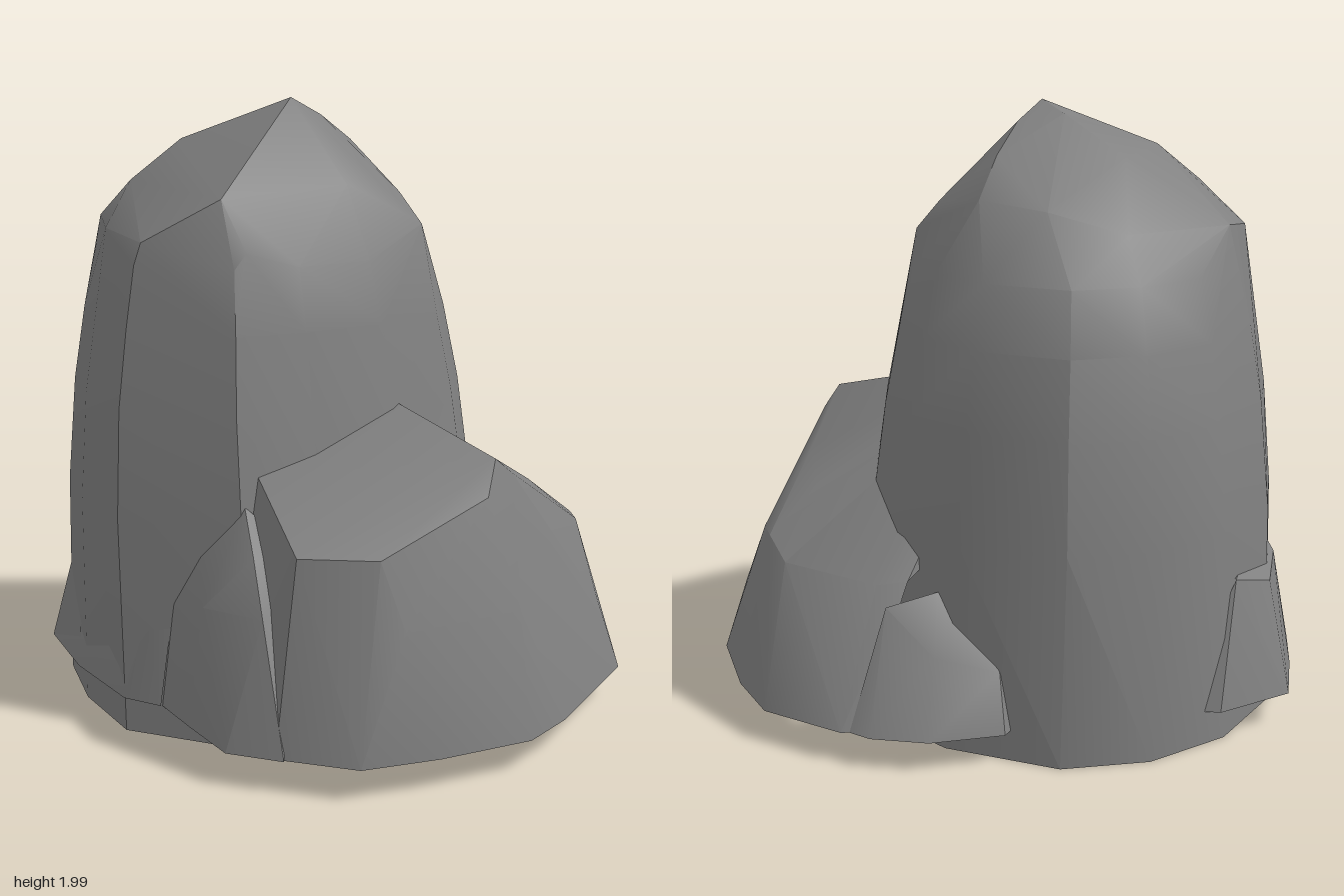
import * as THREE from 'three';
import { ConvexGeometry } from 'three/addons/geometries/ConvexGeometry.js';
import { toCreasedNormals } from 'three/addons/utils/BufferGeometryUtils.js';

const material = new THREE.MeshStandardMaterial({ color: 0x808080, side: THREE.DoubleSide });

// True for points buried deep inside the tall rock
const buried = (p) => ((p.x + 0.22) / 0.5) ** 2 + ((p.z - 0.17) / 0.54) ** 2 < 1;

// A faceted shell around the points, open underneath and where it joins the tall rock
function rock(name, points, joined = true) {
  const corners = points.map((p) => new THREE.Vector3(...p));
  const floor = Math.min(...corners.map((p) => p.y)) + 0.001;
  const pos = new ConvexGeometry(corners).getAttribute('position');
  const kept = [];
  for (let i = 0; i < pos.count; i += 3) {
    const tri = [0, 1, 2].map((k) => new THREE.Vector3().fromBufferAttribute(pos, i + k));
    if (tri.every((p) => p.y < floor)) continue;
    if (joined && (tri.every(buried) || tri.some((p) => p.y < floor && buried(p)))) continue;
    tri.forEach((p) => kept.push(p.x, p.y, p.z));
  }
  const geometry = new THREE.BufferGeometry();
  geometry.setAttribute('position', new THREE.Float32BufferAttribute(kept, 3));
  const mesh = new THREE.Mesh(toCreasedNormals(geometry, 0.56), material);
  mesh.name = name;
  return mesh;
}

// Puts a flat list of [x, z] pairs at one height
const ring = (y, outline) => outline.map(([x, z]) => [x, y, z]);

function tallRock() {
  const outline = [
    [0.46, 0.05], [0.43, 0.38], [0.35, 0.64], [-0.05, 0.87], [-0.38, 0.82], [-0.67, 0.71], [-0.84, 0.46],
    [-0.9, 0.13], [-0.83, -0.17], [-0.65, -0.4], [-0.28, -0.53], [0.02, -0.51], [0.24, -0.42], [0.4, -0.26],
  ];
  // Height, then the x and z limits the outline is fitted to
  const levels = [
    [0.01, -0.9, 0.46, -0.53, 0.87],
    [0.7, -0.87, 0.38, -0.49, 0.86],
    [1.05, -0.83, 0.33, -0.455, 0.835],
    [1.3, -0.78, 0.295, -0.4, 0.8],
    [1.5, -0.72, 0.255, -0.34, 0.765],
  ];
  const points = levels.flatMap(([y, x0, x1, z0, z1]) => ring(y, outline.map(([x, z]) => [
    THREE.MathUtils.mapLinear(x, -0.9, 0.46, x0, x1),
    THREE.MathUtils.mapLinear(z, -0.53, 0.87, z0, z1),
  ])));
  // Chiselled crown
  points.push(
    [-0.05, 2, 0.2], [-0.17, 1.965, 0.17], [-0.4, 1.84, 0.2], [-0.36, 1.86, 0.42], [-0.67, 1.63, 0.4],
    [-0.6, 1.6, 0.59], [-0.42, 1.73, 0.58], [-0.35, 1.59, 0.72], [-0.1, 1.57, 0.745], [0.09, 1.71, 0.57],
    [0.18, 1.55, 0.54], [0.14, 1.73, 0.12], [-0.05, 1.94, 0.08], [-0.1, 1.85, -0.08], [-0.15, 1.73, -0.22],
    [-0.38, 1.71, -0.16], [0.11, 1.69, -0.12], [0.19, 1.59, -0.15], [-0.57, 1.64, 0],
  );
  return rock('tallRock', points, false);
}

export function createModel() {
  const group = new THREE.Group();
  group.name = 'rockCluster';
  group.add(tallRock());

  // Broad rock wrapping the side and back
  group.add(rock('sideRock', [
    ...ring(0.11, [
      [0.1, 0.45], [0.2, 0.72], [0.63, 0.77], [0.85, 0.62], [0.93, 0.38], [0.99, 0.07], [0.93, -0.13],
      [0.7, -0.6], [0.42, -0.78], [0.2, -0.87], [-0.1, -0.82], [-0.14, -0.78], [-0.15, -0.2],
    ]),
    [0.91, 0.5, 0.05], [0.86, 0.5, 0.46], [0, 1.13, 0.1], [0.73, 0.93, 0], [0.81, 0.84, 0.1], [0.79, 0.71, 0.5],
    [0.62, 0.71, 0.68], [0.27, 0.87, 0.57], [0, 0.88, 0.5], [0.72, 0.87, -0.08], [0.58, 0.79, -0.28],
    [0.4, 0.72, -0.43], [0, 0.8, -0.2], [0.51, 0.59, -0.57], [0.43, 0.59, -0.62], [0.28, 0.55, -0.69],
    [-0.07, 0.54, -0.62], [-0.14, 0.55, -0.55], [0.65, 0.35, -0.54],
  ]));

  group.add(rock('frontRock', [
    ...ring(0.11, [[0.05, 0.8], [0.25, 0.83], [0.5, 0.86], [0.66, 0.76], [0.15, 0.4], [-0.1, 0.45]]),
    [0.09, 0.45, 0.77], [0.14, 0.63, 0.7], [0.27, 0.78, 0.62], [0.4, 0.66, 0.68], [0.53, 0.51, 0.74],
    [0.3, 0.5, 0.8], [0.4, 0.64, 0.5], [0.1, 0.7, 0.55],
  ]));

  group.add(rock('backChip', [
    ...ring(0.11, [
      [-0.5, -0.49], [-0.36, -0.69], [-0.2, -0.79], [-0.12, -0.8], [-0.05, -0.45], [-0.05, -0.2], [-0.4, -0.15], [-0.47, -0.38],
    ]),
    [-0.3, 0.35, -0.6], [-0.12, 0.48, -0.63], [-0.22, 0.52, -0.5], [-0.45, 0.3, -0.46], [-0.25, 0.52, -0.42],
  ]));

  // Low ledges hugging the foot of the tall rock
  group.add(rock('cornerLedge', [
    ...ring(0.12, [
      [-0.92, 0.08], [-1, 0.35], [-0.86, 0.57], [-0.73, 0.75], [-0.42, 0.82], [-0.4, 0.5], [-0.5, 0.1], [-0.8, 0],
    ]),
    [-0.88, 0.53, 0.2], [-0.89, 0.48, 0.38], [-0.63, 0.55, 0.68], [-0.77, 0.5, 0.58], [-0.65, 0.5, 0.42],
  ]));

  group.add(rock('frontLedge', [
    ...ring(0.12, [[-0.73, 0.75], [-0.4, 0.84], [-0.05, 0.875], [0.08, 0.82], [0, 0.5], [-0.4, 0.45]]),
    [-0.62, 0.3, 0.7], [-0.14, 0.28, 0.85], [0, 0.38, 0.82], [0.08, 0.42, 0.77], [0, 0.4, 0.65],
  ]));

  return group;
}
